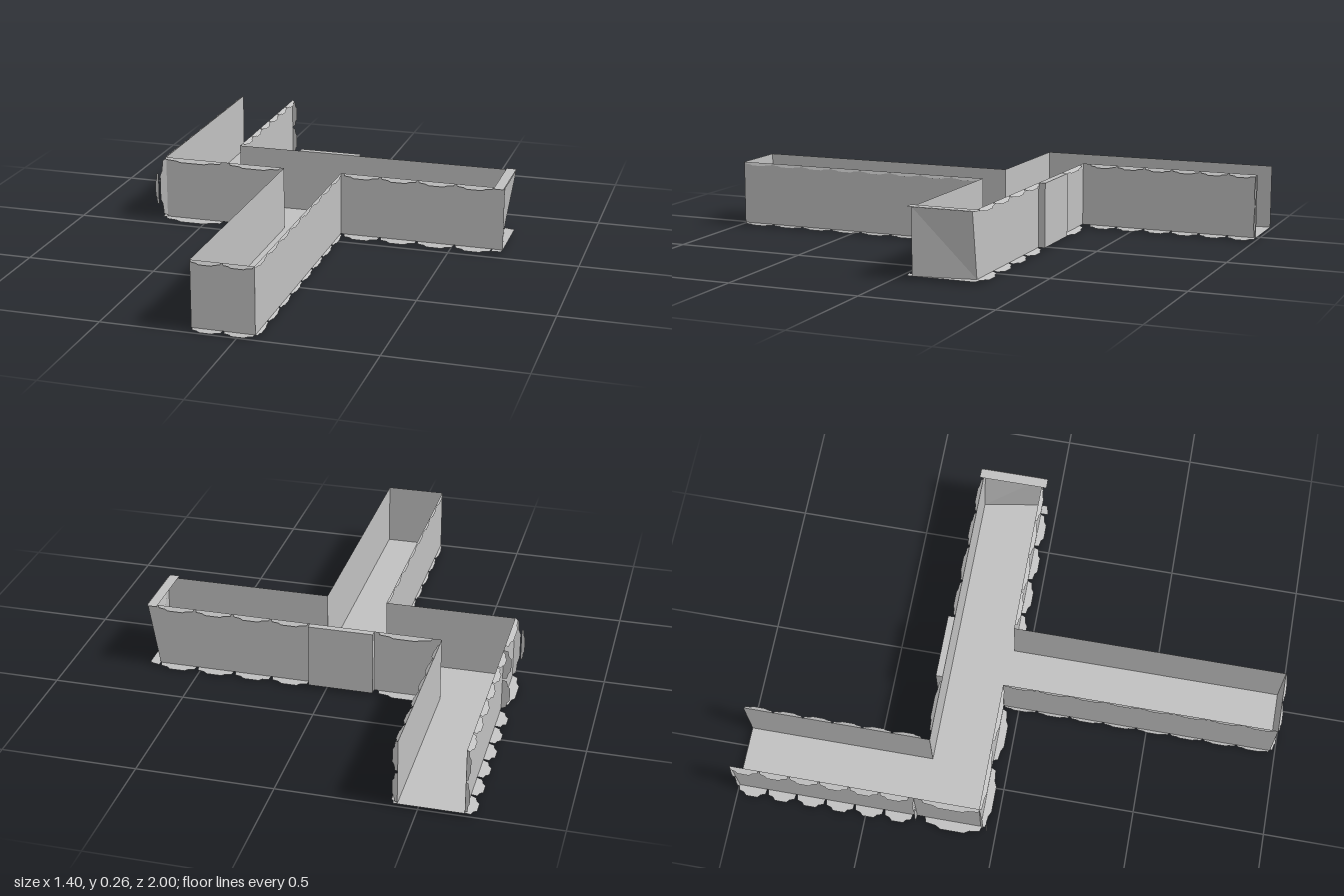
import * as THREE from 'three';

const FLOOR = 0.015, TOP = 0.262;

export function createModel() {
  const group = new THREE.Group();
  const stone = new THREE.MeshStandardMaterial({ color: 0xc0c0c0, side: THREE.DoubleSide, flatShading: true });
  stone.name = 'plain grey';

  function add(name, geometry) {
    const mesh = new THREE.Mesh(geometry, stone);
    mesh.name = name;
    group.add(mesh);
    return mesh;
  }

  // Surface strip between two rows of points
  function strip(name, rowA, rowB) {
    const pos = [], index = [];
    rowA.forEach((p, i) => {
      pos.push(...p, ...rowB[i]);
      if (i) {
        const k = 2 * i;
        index.push(k - 2, k - 1, k, k, k - 1, k + 1);
      }
    });
    const g = new THREE.BufferGeometry();
    g.setAttribute('position', new THREE.Float32BufferAttribute(pos, 3));
    g.setIndex(index);
    g.computeVertexNormals();
    return add(name, g);
  }

  // Scalloped edging from a to b, spreading along the vector out
  const lobe = [[0.02, 0], [0.05, 0.55], [0.22, 0.7], [0.3, 1], [0.7, 1], [0.78, 0.7], [0.95, 0.55], [0.98, 0]];
  function scallops(name, a, b, out, count) {
    const A = new THREE.Vector3(...a), B = new THREE.Vector3(...b), O = new THREE.Vector3(...out);
    for (let i = 0; i < count; i++) {
      const inner = [], outer = [];
      for (const [t, w] of lobe) {
        const p = A.clone().lerp(B, (i + t) / count);
        inner.push(p.toArray());
        outer.push(p.clone().addScaledVector(O, w).toArray());
      }
      strip(name, inner, outer);
    }
  }

  // Corridor outline as x, z from the open rear end and back to it
  const path = [[-0.66, -1], [-0.66, -0.06], [-0.17, -0.06], [-0.17, 0.98], [0.06, 0.98],
    [0.06, -0.06], [0.7, -0.06], [0.7, -0.29], [-0.43, -0.29], [-0.43, -1]];
  const foot = ([x, z]) => [x === 0.7 && z === -0.29 ? 0.66 : x, FLOOR, z];
  const head = ([x, z]) => [x, TOP, z];

  // Floor
  const outline = new THREE.Shape(path.map(([x, z]) => new THREE.Vector2(x, -z)));
  add('floor', new THREE.ShapeGeometry(outline).rotateX(-Math.PI / 2).translate(0, FLOOR, 0));

  // Walls, with the end wall twisted outward at the top
  for (let i = 0; i + 1 < path.length; i++) {
    const a = path[i], b = path[i + 1];
    strip('wall', [foot(a), foot(b)], [head(a), head(b)]);
  }

  // Worn edging: start, end, width, number of lobes
  const edging = [
    [[-0.66, -1], [-0.66, -0.32], 0.036, 6],
    [[-0.66, -0.28], [-0.66, -0.05], 0.036, 1],
    [[-0.67, -0.06], [-0.42, -0.06], 0.03, 1],
    [[-0.4, -0.06], [-0.18, -0.06], 0.03, 1],
    [[-0.17, -0.06], [-0.17, 0.98], 0.009, 8],
    [[-0.17, 0.98], [0.06, 0.98], 0.018, 2],
    [[0.06, 0.98], [0.06, -0.06], 0.009, 8],
    [[0.07, -0.06], [0.66, -0.06], 0.03, 4],
    [[0.66, -0.29], [0.07, -0.29], 0.028, 4],
    [[-0.19, -0.29], [-0.4, -0.29], 0.028, 1],
    [[-0.43, -0.32], [-0.43, -1], 0.028, 6],
  ];
  for (const [a, b, width, count] of edging) {
    const dx = b[0] - a[0], dz = b[1] - a[1], n = Math.hypot(dx, dz);
    const ox = -dz / n * width, oz = dx / n * width;
    scallops('floorEdging', [a[0], FLOOR, a[1]], [b[0], FLOOR, b[1]], [ox, -0.008, oz], count);
    scallops('topEdging', [a[0], TOP, a[1]], [b[0], TOP, b[1]], [ox * 0.55, -0.012, oz * 0.55], count);
  }

  // Upright edging at the corner, the wall joint and the open end
  const upright = (x, z, ox, oz, count) =>
    scallops('uprightEdging', [x, FLOOR, z], [x, TOP, z], [ox, 0, oz], count);
  upright(-0.66, -0.06, -0.022, 0.015, 1);
  upright(-0.66, -0.305, -0.03, 0, 2);
  upright(-0.66, -0.995, -0.015, 0, 2);
  upright(-0.43, -0.995, 0.02, 0, 2);
  scallops('cornerChip', [-0.683, 0.07, -0.03], [-0.683, 0.205, -0.03], [-0.014, 0, 0], 1);

  // Ledge under the twisted end wall
  strip('endLedge', [[0.66, FLOOR, -0.31], [0.66, FLOOR, -0.03]], [[0.698, FLOOR, -0.3], [0.698, FLOOR, -0.04]]);
  strip('endTopLedge', [[0.66, TOP, -0.305], [0.66, TOP, -0.04]], [[0.698, TOP, -0.305], [0.698, TOP, -0.04]]);

  // Raised panel on the rear wall opposite the front arm
  const panel = add('rearPanel', new THREE.BoxGeometry(0.245, TOP - FLOOR, 0.026));
  panel.position.set(-0.056, (TOP + FLOOR) / 2, -0.303);

  // Loose chip beneath the junction
  scallops('underChip', [-0.1, 0.004, 0.03], [0, 0.004, 0.03], [0, 0, 0.07], 1);

  return group;
}
